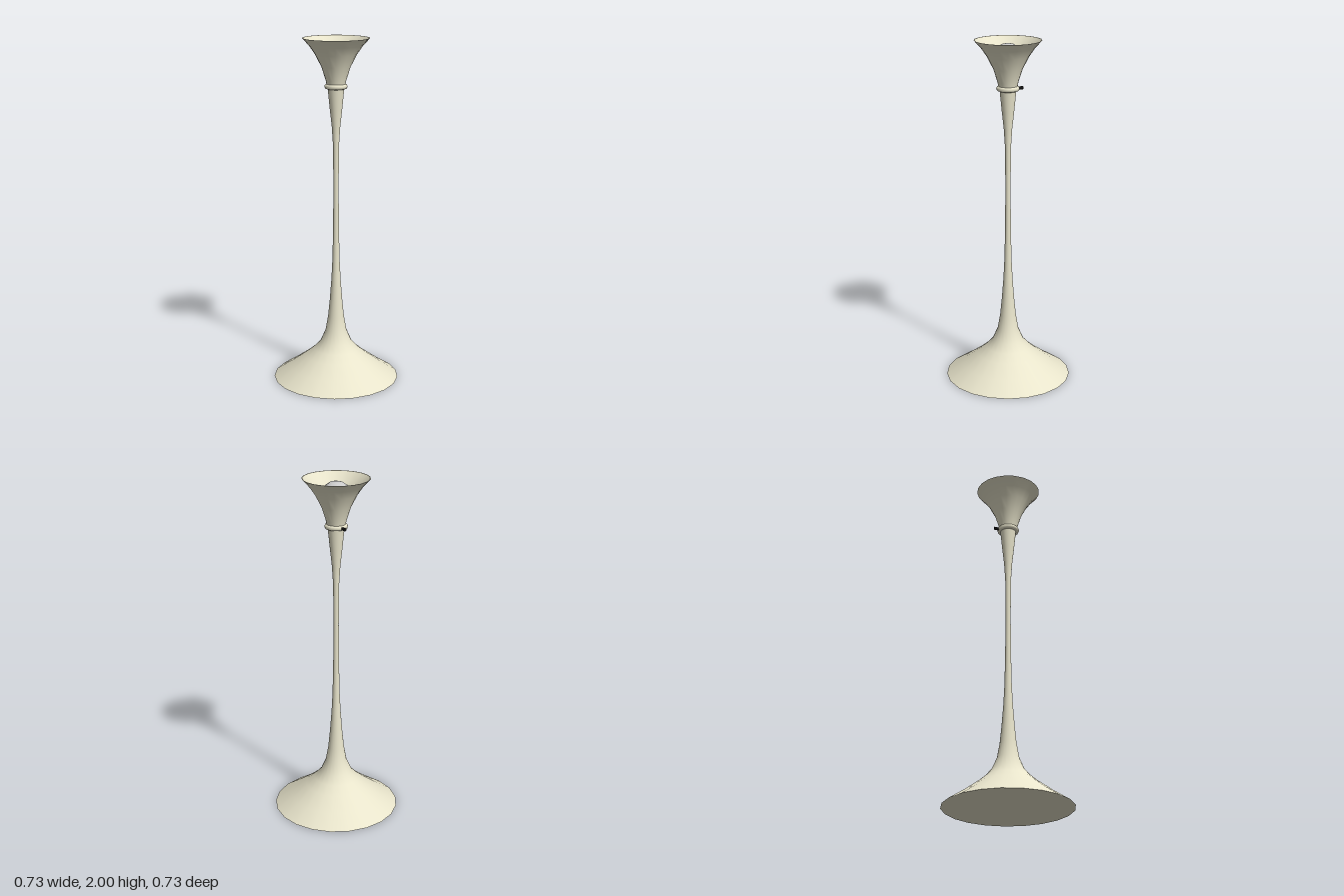
import * as THREE from 'three';

const SIDES = 21;
const mat = (color) => new THREE.MeshStandardMaterial({ color });

export function createModel() {
  const group = new THREE.Group();
  const cream = mat(0xe8e4cb);
  const grey = mat(0xcccccc);
  const black = mat(0x111111);

  const add = (name, geometry, material) => {
    const mesh = new THREE.Mesh(geometry, material);
    mesh.name = name;
    group.add(mesh);
    return mesh;
  };
  // Lathe whose first corner sits on +x
  const lathe = (profile) => new THREE.LatheGeometry(
    profile.map(([r, y]) => new THREE.Vector2(r, y)), SIDES, Math.PI / 2);

  // Flared foot running into the slender stem
  add('footAndStem', lathe([
    [0.367, 0], [0.27, 0.064], [0.18, 0.13], [0.13, 0.172], [0.092, 0.215],
    [0.062, 0.285], [0.047, 0.37], [0.037, 0.47], [0.027, 0.6], [0.021, 0.72],
    [0.017, 0.9], [0.015, 1.15], [0.017, 1.39], [0.024, 1.5], [0.035, 1.6], [0.047, 1.72],
  ]), cream);

  // Flat underside
  add('footBottom', new THREE.CircleGeometry(0.367, SIDES), cream).rotation.x = Math.PI / 2;

  // Trumpet shade: outside, inside with floor, and thin rim
  const flare = [[0.05, 1.72], [0.058, 1.765], [0.082, 1.84], [0.118, 1.91], [0.15, 1.957], [0.19, 2]];
  const inner = flare.slice(1).map(([r, y]) => [r - 0.004, y]).reverse();
  add('shadeOuter', lathe(flare), cream);
  add('shadeInner', lathe([...inner, [0, 1.765]]), cream);
  add('shadeRim', lathe([[0.19, 2], [0.186, 2]]), cream);

  // Collar where the shade meets the stem
  const collar = add('collar', new THREE.TorusGeometry(0.051, 0.015, 8, SIDES), cream);
  collar.rotation.x = Math.PI / 2;
  collar.position.y = 1.73;

  // Small switch at the back of the collar
  const knob = add('switchKnob', new THREE.CylinderGeometry(0.009, 0.009, 0.034, 10), black);
  knob.rotation.x = Math.PI / 2;
  knob.position.set(0, 1.729, -0.072);

  // Bulb
  const bulb = add('bulb', new THREE.SphereGeometry(0.094, 8, 8), grey);
  bulb.rotation.y = Math.PI / 8;
  bulb.position.y = 1.89;

  return group;
}
